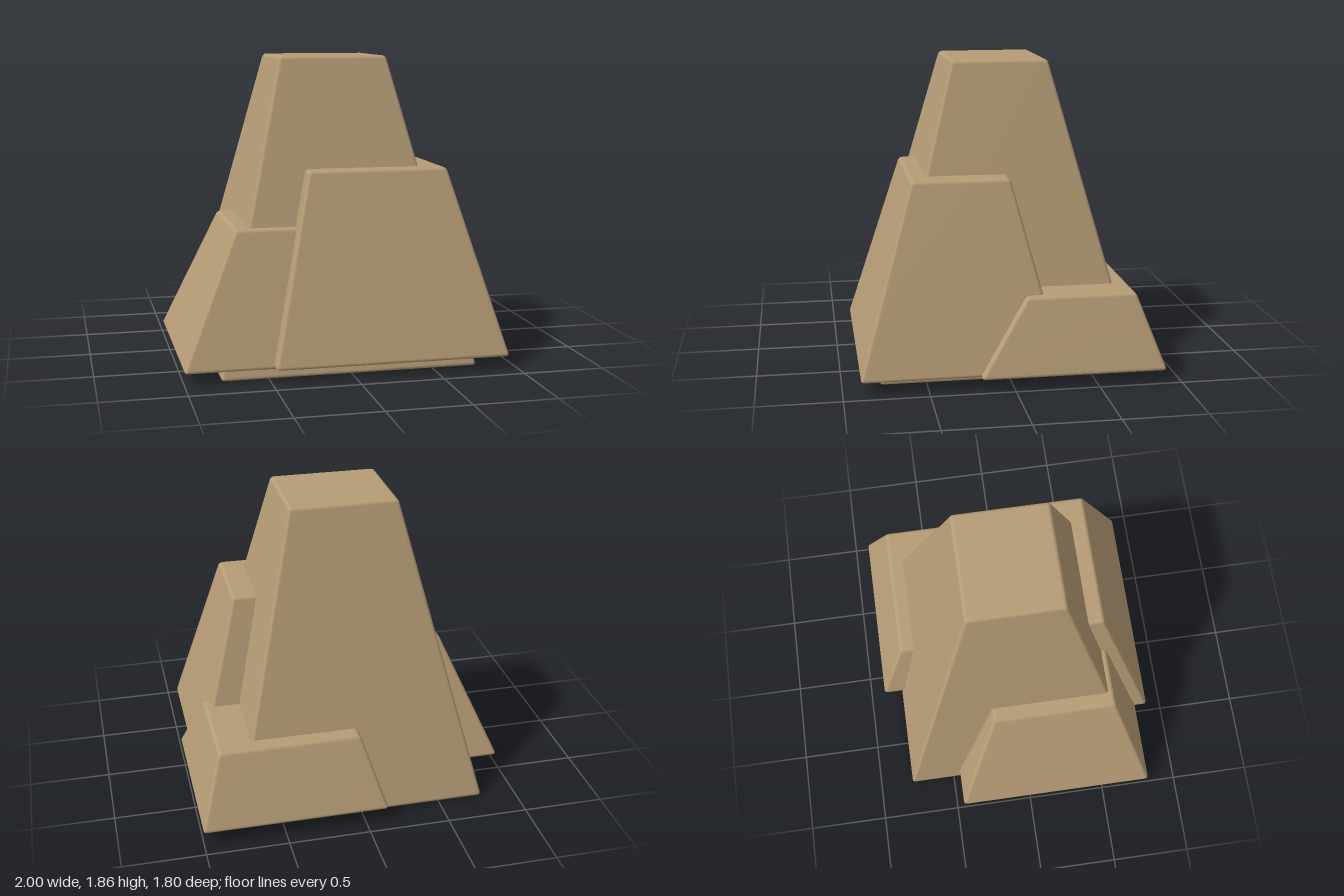
import * as THREE from 'three';
import { mergeVertices } from 'three/addons/utils/BufferGeometryUtils.js';
import { RoundedBoxGeometry } from 'three/addons/geometries/RoundedBoxGeometry.js';

const stone = new THREE.MeshStandardMaterial({ color: 0xb69c76 });

// Tapered block with softened edges; base and top are [xMin, xMax, zMin, zMax].
function taperedBlock(name, y0, y1, base, top) {
  const height = y1 - y0;
  let geometry = new RoundedBoxGeometry(top[1] - top[0], height, top[3] - top[2], 2, 0.022);
  geometry.deleteAttribute('normal');
  geometry.deleteAttribute('uv');
  geometry.clearGroups();
  geometry = mergeVertices(geometry, 1e-4);

  // Push each side outward towards the base, keeping the edge radius constant.
  const p = geometry.attributes.position;
  const cx = (top[0] + top[1]) / 2, cz = (top[2] + top[3]) / 2;
  for (let i = 0; i < p.count; i++) {
    const x = p.getX(i), y = p.getY(i), z = p.getZ(i);
    const k = 0.5 - y / height;
    const dx = x < 0 ? base[0] - top[0] : base[1] - top[1];
    const dz = z < 0 ? base[2] - top[2] : base[3] - top[3];
    p.setXYZ(i, cx + x + dx * k, y0 + height / 2 + y, cz + z + dz * k);
  }
  geometry.computeVertexNormals();

  const mesh = new THREE.Mesh(geometry, stone);
  mesh.name = name;
  return mesh;
}

export function createModel() {
  const group = new THREE.Group();
  group.name = 'steppedRock';
  group.add(
    // Tall central block
    taperedBlock('mainRock', 0.003, 1.865, [-0.785, 0.78, -0.79, 0.78], [-0.335, 0.335, -0.305, 0.285]),
    // Smaller blocks leaning around it
    taperedBlock('frontRock', 0.08, 1.195, [-0.48, 0.95, -0.305, 0.9], [-0.215, 0.645, -0.025, 0.565]),
    taperedBlock('sideRock', 0.07, 0.862, [-1.005, 0.08, -0.46, 0.82], [-0.66, -0.27, -0.195, 0.585]),
    taperedBlock('backRock', 0.08, 0.53, [-0.145, 1.005, -0.91, 0.205], [0, 0.87, -0.745, -0.09])
  );
  return group;
}
